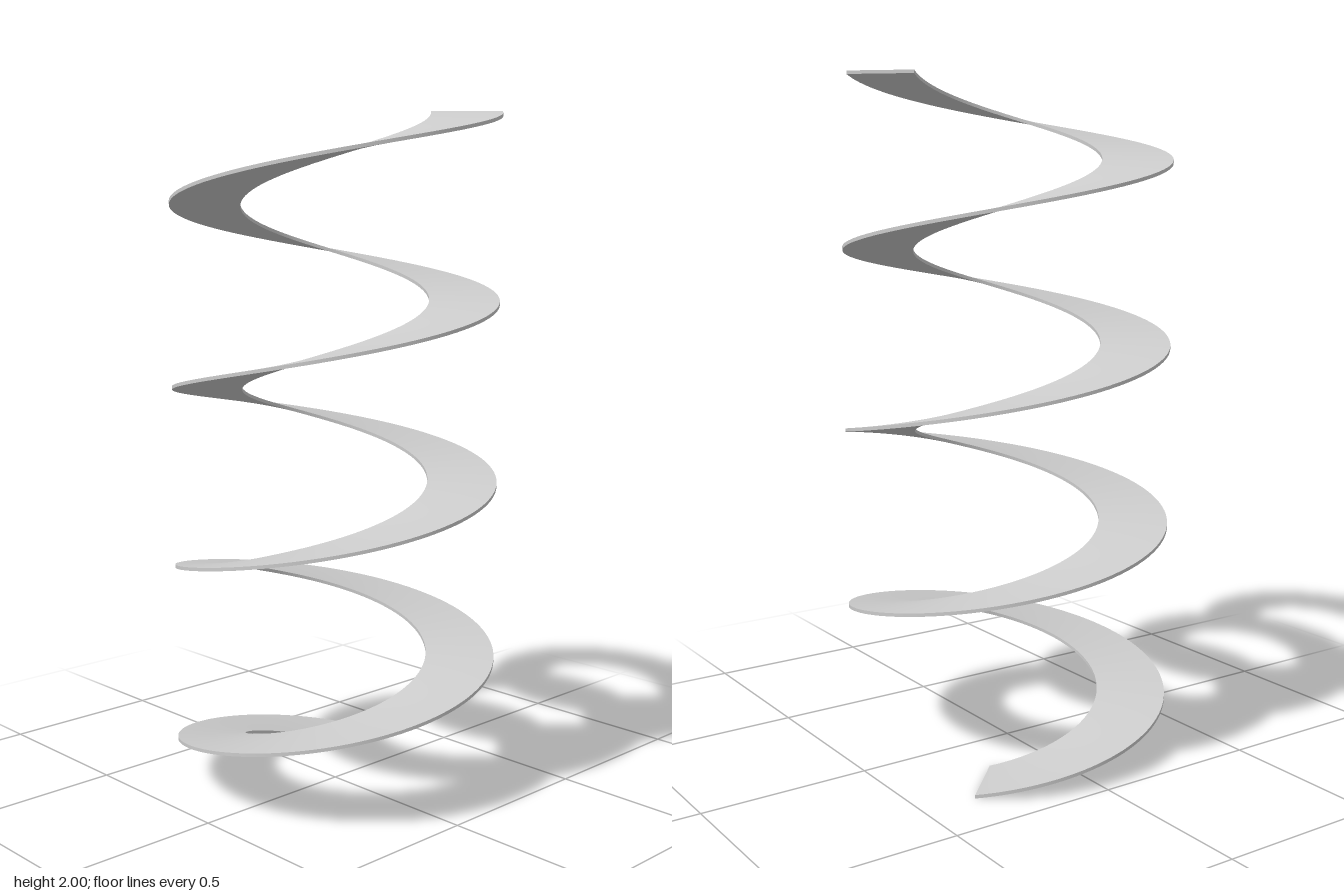
import * as THREE from 'three';

const INNER = 0.274, OUTER = 0.478, THICK = 0.01, HEIGHT = 2;
const TURNS = 3.75, START = Math.PI / 4, STEPS = 450;

// Rectangular ribbon section: [radius, height offset], going round from the inner top edge
const SECTION = [[INNER, THICK], [OUTER, THICK], [OUTER, 0], [INNER, 0]];

// Point of a section corner at fraction t along the helix
function helixPoint([radius, lift], t) {
  const a = START + t * TURNS * Math.PI * 2;
  return [radius * Math.cos(a), t * (HEIGHT - THICK) + lift, -radius * Math.sin(a)];
}

function ribbonGeometry() {
  const positions = [], index = [];

  // Four long faces, each with its own vertices so the edges stay sharp
  SECTION.forEach((corner, k) => {
    const next = SECTION[(k + 1) % 4];
    const base = positions.length / 3;
    for (let i = 0; i <= STEPS; i++) {
      positions.push(...helixPoint(corner, i / STEPS), ...helixPoint(next, i / STEPS));
      if (i < STEPS) {
        const p = base + i * 2;
        index.push(p, p + 1, p + 3, p, p + 3, p + 2);
      }
    }
  });

  // Flat end caps
  for (const t of [0, 1]) {
    const b = positions.length / 3;
    SECTION.forEach((corner) => positions.push(...helixPoint(corner, t)));
    if (t === 0) index.push(b, b + 3, b + 2, b, b + 2, b + 1);
    else index.push(b, b + 1, b + 2, b, b + 2, b + 3);
  }

  const geometry = new THREE.BufferGeometry();
  geometry.setAttribute('position', new THREE.Float32BufferAttribute(positions, 3));
  geometry.setIndex(index);
  geometry.computeVertexNormals();
  return geometry;
}

export function createModel() {
  const group = new THREE.Group();
  group.name = 'spiral';
  const ribbon = new THREE.Mesh(ribbonGeometry(), new THREE.MeshStandardMaterial({ color: 0xcccccc }));
  ribbon.name = 'helicalRibbon';
  group.add(ribbon);
  return group;
}
